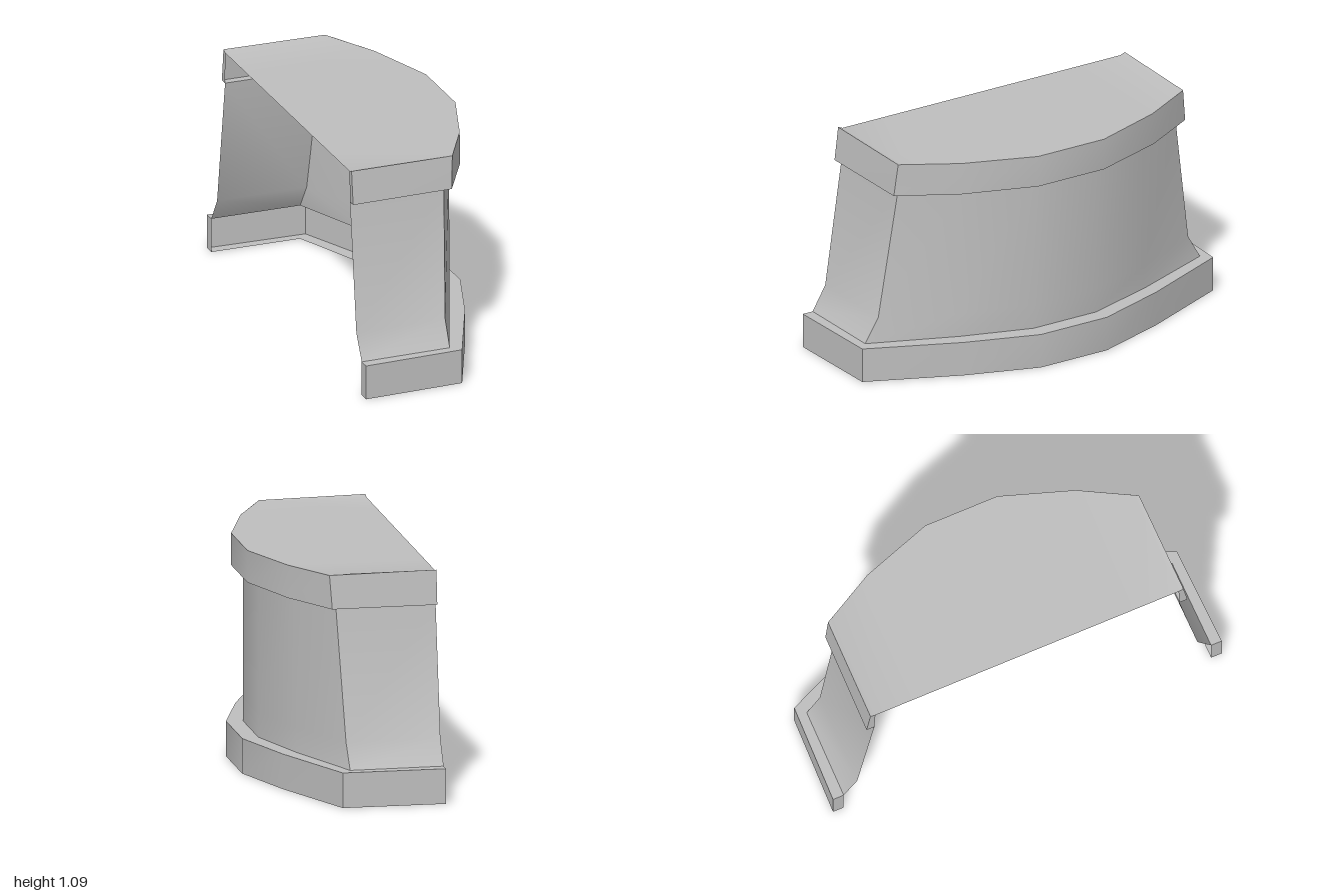
import * as THREE from 'three';
import { toCreasedNormals } from 'three/addons/utils/BufferGeometryUtils.js';

const stone = new THREE.MeshStandardMaterial({ color: 0xbfbfbf, side: THREE.DoubleSide });
stone.name = 'stone grey';

// Half outline as [x, z] (or [x, z, y]) from the open back to the front, mirrored across z
function outline(y, half) {
  const left = half.map(([x, z, h = y]) => [x, h, z]);
  const right = left.map(([x, h, z]) => [x, h, -z]).reverse();
  return [...left, ...right];
}

// Triangles joining consecutive rows of points
function loft(rows) {
  const out = [];
  for (let r = 0; r + 1 < rows.length; r++) {
    const a = rows[r], b = rows[r + 1];
    for (let i = 0; i + 1 < a.length; i++) {
      out.push(...a[i], ...a[i + 1], ...b[i + 1], ...a[i], ...b[i + 1], ...b[i]);
    }
  }
  return out;
}

// Plates closing the two back ends of a moulding: inner and outer corners, bottom and top
function ends(innerLow, outerLow, innerTop, outerTop) {
  const flip = ([x, y, z]) => [x, y, -z];
  return [
    ...loft([[innerLow, outerLow], [innerTop, outerTop]]),
    ...loft([[outerLow, innerLow].map(flip), [outerTop, innerTop].map(flip)]),
  ];
}

function part(name, triangles) {
  const geo = new THREE.BufferGeometry();
  geo.setAttribute('position', new THREE.Float32BufferAttribute(triangles, 3));
  const mesh = new THREE.Mesh(toCreasedNormals(geo, 0.6), stone);
  mesh.name = name;
  return mesh;
}

export function createModel() {
  const group = new THREE.Group();
  group.name = 'curvedPedestal';

  const plinthHalf = [[-0.405, 1], [0.09, 0.985], [0.285, 0.54], [0.405, 0.185]];
  const footHalf = [[-0.405, 0.945], [0.045, 0.94], [0.215, 0.52], [0.325, 0.175]];
  const foot = outline(0.17, footHalf);
  const neck = outline(0.925, [[-0.4, 0.785], [0.08, 0.78], [0.215, 0.51], [0.325, 0.175]]);

  // Base moulding: bottom lip, outer face and ledge, hollow inside
  const lip = outline(0, footHalf), low = outline(0, plinthHalf), high = outline(0.17, plinthHalf);
  group.add(part('base', [
    ...loft([lip, low, high, foot]),
    ...ends(lip[0], low[0], foot[0], high[0]),
  ]));

  // Wall: flared foot, then tapering sides with an upright front
  const flare = outline(0.29, [[-0.404, 0.875], [0.05, 0.87], [0.215, 0.52], [0.325, 0.175]]);
  group.add(part('wall', loft([foot, flare, neck])));

  // Cap: underside ledge, leaning band and slightly dished top
  const capLow = outline(0.925, [[-0.4, 0.825], [0.105, 0.818], [0.26, 0.54], [0.38, 0.185]]);
  const rim = outline(1.08, [[-0.4, 0.805, 1.09], [0.115, 0.8, 1.086], [0.26, 0.535, 1.083], [0.38, 0.185]]);
  group.add(part('capBand', [
    ...loft([neck, capLow, rim]),
    ...ends(neck[0], capLow[0], [-0.4, 1.08, 0.78], rim[0]),
  ]));

  const topFront = outline(1.08, [[0.115, 0.8, 1.086], [0.126, 0.78, 1.085], [0.26, 0.535, 1.083], [0.38, 0.185]]);
  const topBack = outline(1.08, [[-0.4, 0.805, 1.09], [-0.4, 0.78], [-0.4, 0.535], [-0.4, 0.185]]);
  group.add(part('capTop', loft([topFront, topBack])));

  return group;
}
